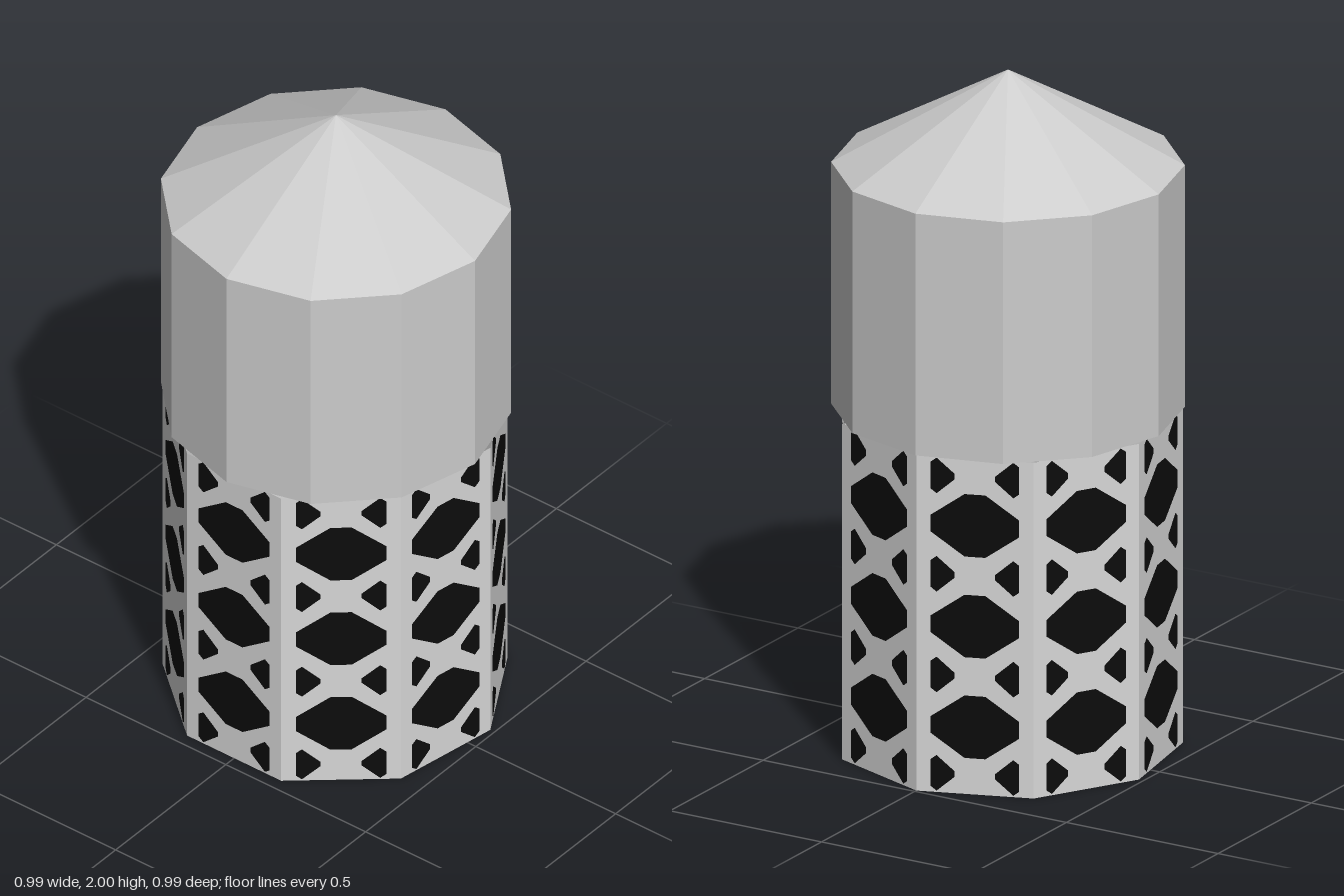
import * as THREE from 'three';

const mat = (name, color, side = THREE.FrontSide) => {
  const m = new THREE.MeshStandardMaterial({ color, side });
  m.name = name;
  return m;
};

// faceted copy of a geometry
function flat(geometry) {
  const g = geometry.toNonIndexed();
  g.computeVertexNormals();
  return g;
}

function addMesh(parent, name, geometry, material) {
  const mesh = new THREE.Mesh(geometry, material);
  mesh.name = name;
  parent.add(mesh);
  return mesh;
}

const polygon = (points) => points.map(([x, y]) => new THREE.Vector2(x, y));

// openings of one lattice panel: big diamonds with small side triangles between them
function panelOpenings() {
  const list = [];
  for (const y of [0.2, 0.5, 0.8]) {
    list.push(polygon([
      [-0.127, y - 0.025], [-0.03, y - 0.093], [0.03, y - 0.093], [0.127, y - 0.025],
      [0.127, y + 0.025], [0.03, y + 0.093], [-0.03, y + 0.093], [-0.127, y + 0.025],
    ]));
  }
  for (const y of [0.057, 0.35, 0.65, 0.943]) {
    for (const s of [-1, 1]) {
      list.push(polygon([
        [s * 0.058, y - 0.008], [s * 0.11, y - 0.053], [s * 0.127, y - 0.04],
        [s * 0.127, y + 0.04], [s * 0.11, y + 0.053], [s * 0.058, y + 0.008],
      ]));
    }
  }
  return list;
}

export function createModel() {
  const model = new THREE.Group();
  model.name = 'latticeTower';
  const capGrey = mat('cap grey', 0xcccccc);
  const latticeGrey = mat('lattice grey', 0xd8d8d8, THREE.DoubleSide);
  const black = mat('opening black', 0x0c0c0c, THREE.DoubleSide);

  // twelve-sided drum with a pointed roof
  const R = 0.497;
  addMesh(model, 'drum', flat(new THREE.CylinderGeometry(R, R, 0.72, 12, 1, true)), capGrey).position.y = 1.36;
  addMesh(model, 'roof', flat(new THREE.ConeGeometry(R, 0.28, 12, 1, true)), capGrey).position.y = 1.86;
  const floor = addMesh(model, 'drumFloor', new THREE.CircleGeometry(R, 12), capGrey);
  floor.rotation.x = Math.PI / 2;
  floor.position.y = 1;

  // nine-sided lattice wall, open at the bottom
  const sides = 9, r = 0.492;
  const half = r * Math.sin(Math.PI / sides);
  const apothem = r * Math.cos(Math.PI / sides);
  const openings = panelOpenings();
  const panel = new THREE.Shape(polygon([[-half, 0], [half, 0], [half, 1], [-half, 1]]));
  panel.holes = openings.map((pts) => new THREE.Path(pts));
  const panelGeometry = new THREE.ShapeGeometry(panel);
  const openingGeometry = new THREE.ShapeGeometry(openings.map((pts) => new THREE.Shape(pts)));
  for (let i = 0; i < sides; i++) {
    const side = new THREE.Group();
    side.name = 'wallSide' + (i + 1);
    side.rotation.y = (i * 2 * Math.PI) / sides;
    addMesh(side, 'lattice', panelGeometry, latticeGrey).position.z = apothem;
    addMesh(side, 'openings', openingGeometry, black).position.z = apothem;
    model.add(side);
  }

  // central pole inside the wall
  addMesh(model, 'centralPole', flat(new THREE.CylinderGeometry(0.087, 0.087, 1, 12)), capGrey).position.y = 0.5;

  return model;
}
